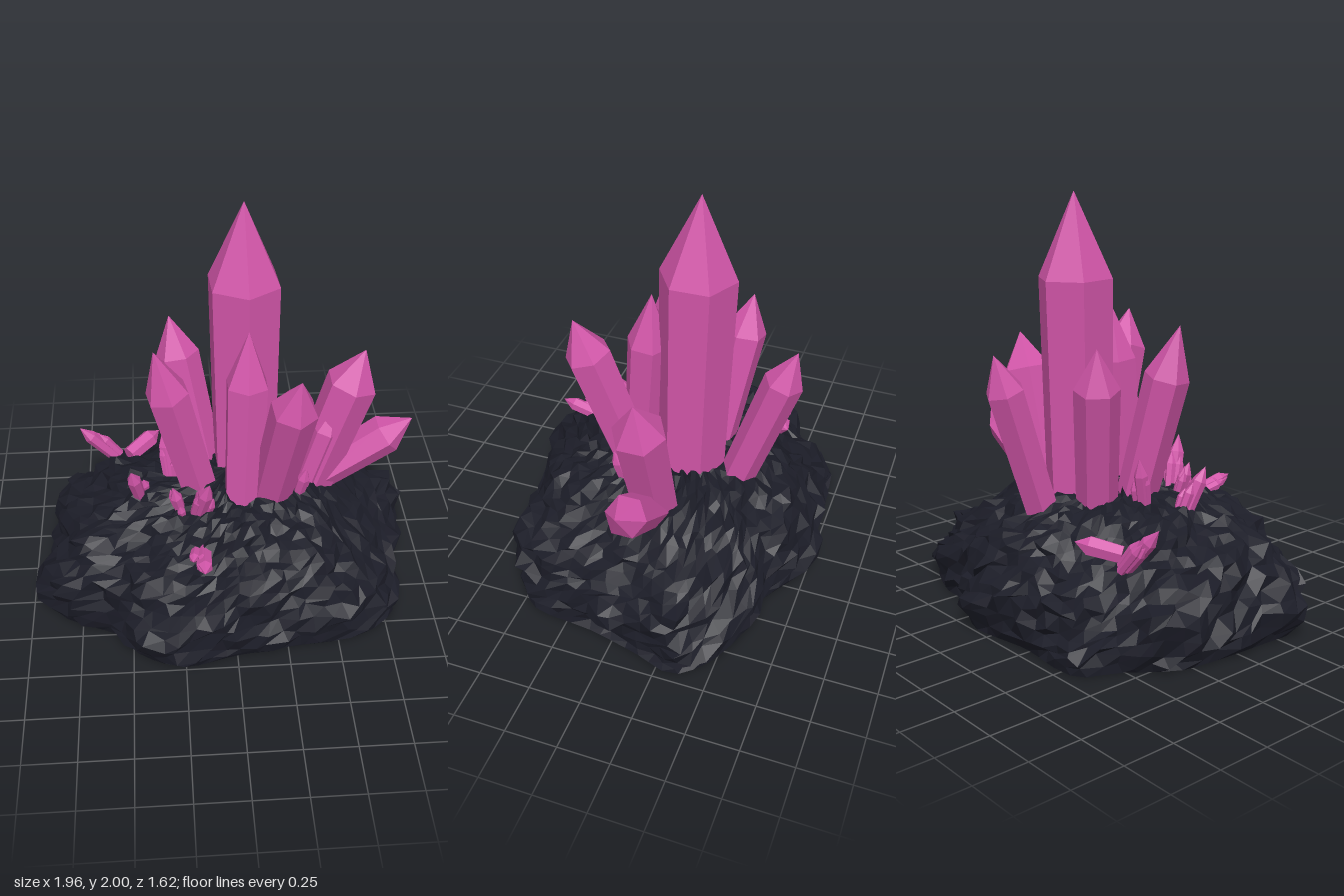
import * as THREE from 'three';

// Small seeded generator for the rough rock
function makeRandom(seed) {
  return () => {
    seed = (seed * 1664525 + 1013904223) % 4294967296;
    return seed / 4294967296;
  };
}

// Separate every face so it is shaded flat
function facet(geometry) {
  const flat = geometry.index ? geometry.toNonIndexed() : geometry;
  flat.computeVertexNormals();
  return flat;
}

// Rock mound: the ground outline is shrunk ring by ring up a dome profile
function rockGeometry() {
  const random = makeRandom(11);
  const outline = [
    [0.12, -0.79], [0.28, -0.71], [0.42, -0.63], [0.6, -0.62], [0.82, -0.5], [0.97, -0.34], [0.91, -0.13],
    [0.85, 0.13], [0.81, 0.45], [0.6, 0.64], [0.3, 0.68], [-0.02, 0.73], [-0.28, 0.79],
    [-0.52, 0.68], [-0.6, 0.55], [-0.93, 0.38], [-0.94, 0.19], [-0.92, -0.13],
    [-0.87, -0.37], [-0.67, -0.55], [-0.58, -0.7], [-0.2, -0.74],
  ].map(([x, z]) => new THREE.Vector3(x, 0, z));
  const sides = 76;
  const ground = new THREE.CatmullRomCurve3(outline, true, 'catmullrom', 0.4).getSpacedPoints(sides);
  const profile = new THREE.SplineCurve([
    [0.93, 0], [0.99, 0.1], [0.98, 0.2], [0.92, 0.31], [0.82, 0.41],
    [0.68, 0.48], [0.5, 0.55], [0.3, 0.58], [0.08, 0.6],
  ].map(([s, y]) => new THREE.Vector2(s, y))).getSpacedPoints(22);

  const positions = [];
  const index = [];
  profile.forEach((ring, i) => {
    for (let j = 0; j < sides; j++) {
      const a = (j / sides) * Math.PI * 2;
      const lump = 0.018 * Math.sin(a * 7 + i * 0.9) + 0.014 * Math.sin(a * 13 - i * 1.7);
      const t = (j + (random() - 0.5) * 0.7 + sides) % sides;
      const p = ground[Math.floor(t)].clone().lerp(ground[Math.floor(t) + 1], t % 1);
      // The left side and the back right corner slope down to low spurs
      const left = THREE.MathUtils.smoothstep(p.x, 0.5, 0.9);
      const corner = 1 - THREE.MathUtils.smoothstep(Math.hypot(p.x + 0.6, p.z + 0.68), 0.05, 0.4);
      const spur = Math.max(left, corner);
      const rough = i === 0 ? 0 : lump + (random() - 0.55) * 0.07;
      const s = ring.x * (1 + rough) + (i === 0 ? 0.06 * spur : 0);
      const drop = 1 - 0.27 * spur * THREE.MathUtils.smoothstep(s, 0.42, 0.88);
      const y = i === 0 ? 0 : Math.max(0.01, ring.y * drop + lump * 0.5 + (random() - 0.5) * 0.036);
      positions.push(p.x * s, y, p.z * s);
    }
  });
  const bottom = positions.length / 3;
  positions.push(0, 0, 0, 0, 0.62, 0);
  const last = (profile.length - 1) * sides;
  for (let j = 0; j < sides; j++) {
    const k = (j + 1) % sides;
    for (let i = 0; i < profile.length - 1; i++) {
      const a = i * sides + j, b = i * sides + k;
      index.push(a, a + sides, b, b, a + sides, b + sides);
    }
    index.push(bottom, j, k, bottom + 1, last + k, last + j);
  }
  const geometry = new THREE.BufferGeometry();
  geometry.setAttribute('position', new THREE.Float32BufferAttribute(positions, 3));
  geometry.setIndex(index);
  return facet(geometry);
}

// Six-sided pointed crystal running from base to tip
function crystal(name, base, tip, radius, cap, material, twist = 0) {
  const from = new THREE.Vector3(...base);
  const axis = new THREE.Vector3(...tip).sub(from);
  const h = axis.length();
  const points = [[0, 0], [radius * 0.9, 0], [radius, h * (1 - cap)], [0, h]]
    .map(([x, y]) => new THREE.Vector2(x, y));
  const geometry = facet(new THREE.LatheGeometry(points, 6, twist));
  const mesh = new THREE.Mesh(geometry, material);
  mesh.name = name;
  mesh.position.copy(from);
  mesh.quaternion.setFromUnitVectors(new THREE.Vector3(0, 1, 0), axis.normalize());
  return mesh;
}

export function createModel() {
  const rockMaterial = new THREE.MeshStandardMaterial({ color: 0x1c1d28 });
  rockMaterial.name = 'dark rock';
  const crystalMaterial = new THREE.MeshStandardMaterial({ color: 0xd155a8 });
  crystalMaterial.name = 'pink crystal';

  const model = new THREE.Group();
  model.name = 'crystalCluster';
  const rock = new THREE.Mesh(rockGeometry(), rockMaterial);
  rock.name = 'rockBase';
  model.add(rock);

  // Large crystals: name, base, tip, radius, cap share, twist
  const large = [
    ['mainCrystal', [0.09, 0.4, -0.12], [0.08, 2, -0.155], 0.183, 0.25, 0.06],
    ['rightFrontCrystal', [-0.13, 0.45, 0.02], [-0.35, 1.4, 0.12], 0.108, 0.26, 0.2],
    ['rightBackCrystal', [-0.1, 0.45, -0.17], [-0.27, 1.33, -0.31], 0.108, 0.22, 0.4],
    ['innerFrontCrystal', [0.06, 0.45, 0.15], [0.09, 1.46, 0.075], 0.107, 0.27, 0],
    ['frontCrystal', [0.19, 0.45, 0.09], [0.3, 1.38, 0.38], 0.113, 0.2, 0.15],
    ['backCrystal', [0.08, 0.42, -0.33], [0.08, 1.29, -0.62], 0.095, 0.2, 0],
    ['leftCrystal', [0.39, 0.38, -0.06], [0.66, 1.26, -0.05], 0.128, 0.21, 0],
    ['lowLeftCrystal', [0.4, 0.475, -0.06], [0.92, 0.84, -0.06], 0.1, 0.24, 0],
    ['shortLeftCrystal', [0.36, 0.42, 0], [0.52, 0.97, 0], 0.07, 0.24, 0.2],
  ];
  large.forEach(([name, base, tip, r, cap, twist]) =>
    model.add(crystal(name, base, tip, r, cap, crystalMaterial, twist)));

  // Small sprouts: base, tip, radius, number of shorter companions
  const small = [
    [[-0.58, 0.42, -0.4], [-0.75, 0.63, -0.37], 0.034, 3],
    [[-0.5, 0.45, -0.36], [-0.34, 0.5, -0.5], 0.048, 0],
    [[-0.44, 0.52, 0.08], [-0.48, 0.75, 0.17], 0.035, 2],
    [[-0.29, 0.52, -0.04], [-0.32, 0.8, -0.1], 0.034, 3],
    [[-0.24, 0.52, 0.22], [-0.28, 0.71, 0.26], 0.03, 4],
    [[-0.17, 0.52, 0.25], [-0.11, 0.8, 0.35], 0.037, 3],
    [[0.33, 0.5, 0.12], [0.37, 0.73, 0.17], 0.032, 2],
    [[-0.14, 0.49, 0.46], [-0.15, 0.54, 0.67], 0.036, 4],
  ];
  const random = makeRandom(5);
  small.forEach(([base, tip, r, extra], i) => {
    const sprout = new THREE.Group();
    sprout.name = `sprout${i + 1}`;
    sprout.add(crystal('sproutCrystal', base, tip, r, 0.3, crystalMaterial));
    for (let k = 0; k < extra; k++) {
      const shift = [0, 1, 2].map((c) => (random() - 0.5) * (c === 1 ? 0.02 : 0.08));
      const from = base.map((v, c) => v + shift[c]);
      const to = tip.map((v, c) => base[c] + (v - base[c]) * (0.6 + 0.08 * k) + shift[c] * 1.4);
      sprout.add(crystal('sproutSideCrystal', from, to, r * 0.7, 0.3, crystalMaterial));
    }
    model.add(sprout);
  });
  return model;
}
